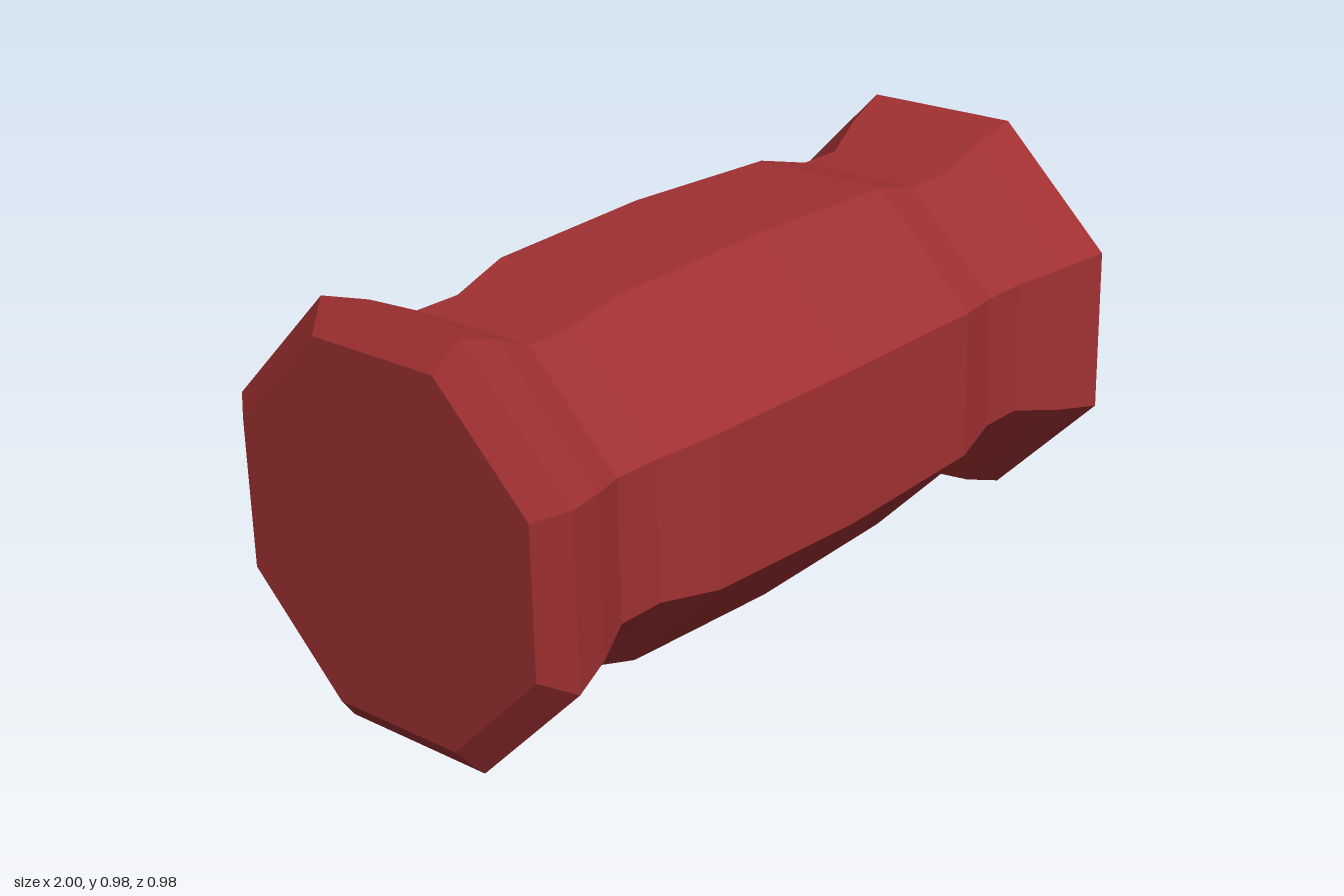
import * as THREE from 'three';

export function createModel() {
  const model = new THREE.Group();
  model.name = 'barrel';

  // Half profile from the middle to one end: [distance along the axis, corner radius]
  const half = [[0, 0.485], [0.45, 0.47], [0.6, 0.428], [0.72, 0.428], [0.83, 0.484], [0.945, 0.526], [1, 0.455], [0, 0]];
  half[half.length - 1] = [1, 0]; // flat end cap

  // Mirror the half to get the full profile
  const profile = [
    ...half.slice(1).reverse().map(([d, r]) => new THREE.Vector2(r, -d)),
    ...half.map(([d, r]) => new THREE.Vector2(r, d)),
  ];

  // Eight-sided body, turned slightly about its axis and laid along x
  const turn = THREE.MathUtils.degToRad(21.2);
  const geometry = new THREE.LatheGeometry(profile, 8, turn);
  geometry.rotateZ(-Math.PI / 2);
  geometry.computeBoundingBox();
  geometry.translate(0, -geometry.boundingBox.min.y, 0);

  const body = new THREE.Mesh(
    geometry,
    new THREE.MeshStandardMaterial({ color: 0xa03032, flatShading: true })
  );
  body.name = 'barrelBody';
  model.add(body);
  return model;
}
